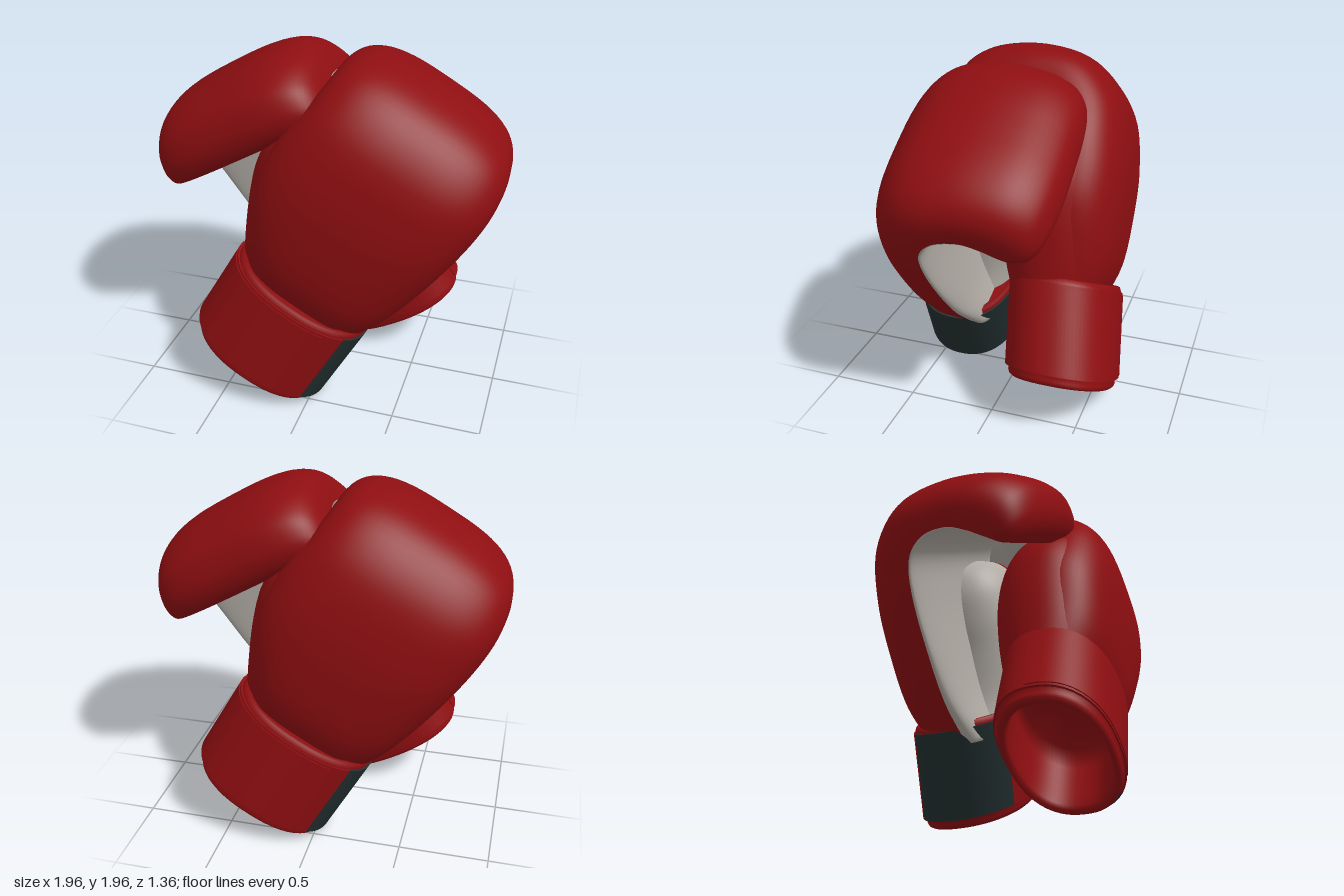
import * as THREE from 'three';
import { toCreasedNormals } from 'three/addons/utils/BufferGeometryUtils.js';

const mat = (name, color) => Object.assign(new THREE.MeshStandardMaterial({ color }), { name });
const V = (x, y, z) => new THREE.Vector3(x, y, z);
const spow = (c, n) => Math.sign(c) * Math.pow(Math.abs(c), 2 / n);

// Skin closed rings into a capped solid; slotOf(column) picks the material slot.
function loft(rings, slotOf = () => 0) {
  const n = rings[0].length, m = rings.length, pts = rings.flat();
  const centre = r => r.reduce((a, p) => a.add(p), V(0, 0, 0)).divideScalar(n);
  pts.push(centre(rings[0]), centre(rings[m - 1]));
  const slots = [[], []];
  for (let j = 0; j < n; j++) {
    const k = (j + 1) % n, out = slots[slotOf((j + 0.5) / n)];
    for (let i = 0; i < m - 1; i++) {
      const a = i * n + j, b = i * n + k, c = a + n, d = b + n;
      out.push(a, b, c, b, d, c);
    }
    out.push(m * n, k, j, m * n + 1, (m - 1) * n + j, (m - 1) * n + k);
  }
  // Turn all faces outward by the sign of the volume
  let vol = 0;
  for (const s of slots) for (let i = 0; i < s.length; i += 3)
    vol += pts[s[i]].dot(pts[s[i + 1]].clone().cross(pts[s[i + 2]]));
  if (vol < 0) for (const s of slots) for (let i = 0; i < s.length; i += 3)
    [s[i + 1], s[i + 2]] = [s[i + 2], s[i + 1]];
  const g = new THREE.BufferGeometry().setFromPoints(pts);
  g.setIndex(slots.flat());
  g.addGroup(0, slots[0].length, 0);
  if (slots[1].length) g.addGroup(slots[0].length, slots[1].length, 1);
  g.computeVertexNormals();
  return g;
}

// Smoothly resample a table of rib parameters, column by column
function smoothRows(rows, steps) {
  const cols = rows[0].map((_, c) => new THREE.SplineCurve(rows.map((r, i) => new THREE.Vector2(i, r[c]))));
  return Array.from({ length: steps + 1 }, (_, i) => cols.map(c => c.getPoint(i / steps).y));
}

const ring = (n, f) => Array.from({ length: n }, (_, j) => f(j / n * Math.PI * 2));

// Point on the wrist cuff at height u, angle a and size s
function cuffPoint(u, a, s) {
  return V(-0.395 + 0.43 * s * spow(Math.cos(a), 2.3), u,
    0.372 - 0.11 * u + 0.312 * s * spow(Math.sin(a), 2.3));
}

// Curved plate lying on the cuff
function cuffPlate(a0, a1, u0, u1, s0, s1) {
  const rings = [];
  for (let i = 0; i <= 32; i++) {
    const a = THREE.MathUtils.degToRad(a0 + (a1 - a0) * i / 32);
    rings.push([[u0, s0], [u1, s0], [u1, s1], [u0, s1]].map(([u, s]) => cuffPoint(u, a, s)));
  }
  return toCreasedNormals(loft(rings), 0.6);
}

function buildGlove(red, lining, dark) {
  const glove = new THREE.Group();
  const add = (name, geo, material) => {
    const mesh = new THREE.Mesh(geo, material);
    mesh.name = name;
    glove.add(mesh);
  };

  // Hand: back of the hand curling over into the fingers.
  // Rib: outer z, y; seam z, y; palm padding depth; side edges
  const handRibs = [
    [0.50, 0.46, 0.20, 0.46, 0.12, -0.75, 0.0],
    [0.585, 0.7, 0.24, 0.7, 0.08, -0.85, 0.075],
    [0.605, 1.0, 0.25, 1.0, 0.05, -0.96, 0.135],
    [0.59, 1.3, 0.25, 1.28, 0.04, -0.965, 0.17],
    [0.515, 1.6, 0.22, 1.47, 0.03, -0.925, 0.18],
    [0.33, 1.81, 0.13, 1.57, 0.03, -0.91, 0.17],
    [0.06, 1.876, 0.0, 1.59, 0.03, -0.91, 0.155],
    [-0.22, 1.845, -0.10, 1.555, 0.02, -0.91, 0.15],
    [-0.39, 1.74, -0.18, 1.51, 0.02, -0.91, 0.15],
    [-0.44, 1.6, -0.23, 1.48, 0.015, -0.90, 0.145],
    [-0.41, 1.49, -0.26, 1.46, 0.01, -0.89, 0.13],
    [-0.34, 1.44, -0.28, 1.45, 0.003, -0.86, 0.11],
    [-0.295, 1.443, -0.29, 1.45, 0.001, -0.82, 0.07],
  ];
  const handRings = smoothRows(handRibs, 72).map(([oz, oy, mz, my, d, l, r]) => {
    const len = Math.hypot(oz - mz, oy - my) || 1;
    return ring(64, a => {
      const h = spow(Math.sin(a), 3);
      const k = h > 0 ? h : h * Math.max(d, 0) / len;
      return V((l + r) / 2 + (r - l) / 2 * spow(Math.cos(a), 3), my + (oy - my) * k, mz + (oz - mz) * k);
    });
  });
  add('hand', loft(handRings, t => (t > 0.5 ? 1 : 0)), [red, lining]);

  // Thumb: padded roll along the inner side. Rib: y; centre x, z; radii x, z
  const thumbRibs = [
    [0.45, -0.42, 0.27, 0.34, 0.24],
    [0.65, -0.53, 0.26, 0.325, 0.28],
    [0.9, -0.62, 0.24, 0.34, 0.295],
    [1.1, -0.66, 0.24, 0.35, 0.285],
    [1.28, -0.67, 0.25, 0.315, 0.25],
    [1.4, -0.67, 0.26, 0.22, 0.17],
    [1.45, -0.67, 0.26, 0.03, 0.03],
  ];
  const thumbRings = smoothRows(thumbRibs, 36).map(([y, x, z, rx, rz]) =>
    ring(48, a => V(x + rx * spow(Math.cos(a), 2.2), y, z + rz * spow(Math.sin(a), 2.2))));
  add('thumb', loft(thumbRings, t => (t > 0.25 && t < 0.73 ? 0 : 1)), [red, lining]);

  // Wrist cuff: rolled top edge, outer wall, rolled hem and hollow opening
  const cuffProfile = [[0.56, 0.86], [0.58, 0.9], [0.575, 0.95], [0.55, 0.975], [0.5, 0.98], [0.3, 0.985],
    [0.09, 0.98], [0.06, 0.96], [0.05, 0.93], [0.03, 0.94], [0.012, 0.92], [0.002, 0.88], [0.008, 0.83],
    [0.03, 0.795], [0.1, 0.78], [0.3, 0.77], [0.44, 0.74]];
  add('cuff', loft(cuffProfile.map(([u, s]) => ring(64, a => cuffPoint(u, a, s)))), red);

  // Fastening strap with its overlapping end, and the dark elastic panel
  add('strap', cuffPlate(42, 296, 0.06, 0.545, 0.97, 1.0), red);
  add('strapEnd', cuffPlate(62, 185, 0.075, 0.53, 0.99, 1.014), red);
  add('elasticPanel', cuffPlate(-64, 42, 0.06, 0.545, 0.97, 0.998), dark);

  glove.rotation.z = -Math.PI / 6;
  return glove;
}

export function createModel() {
  const red = mat('red leather', 0x8e0e11);
  const lining = mat('pale grey palm', 0xb3ada6);
  const dark = mat('dark elastic', 0x222f30);
  const model = new THREE.Group();
  model.name = 'boxingGloves';
  // The two gloves lean apart, palm to palm
  ['frontGlove', 'backGlove'].forEach((name, i) => {
    const side = new THREE.Group();
    side.name = name;
    side.add(buildGlove(red, lining, dark));
    side.rotation.y = i * Math.PI;
    model.add(side);
  });
  return model;
}
